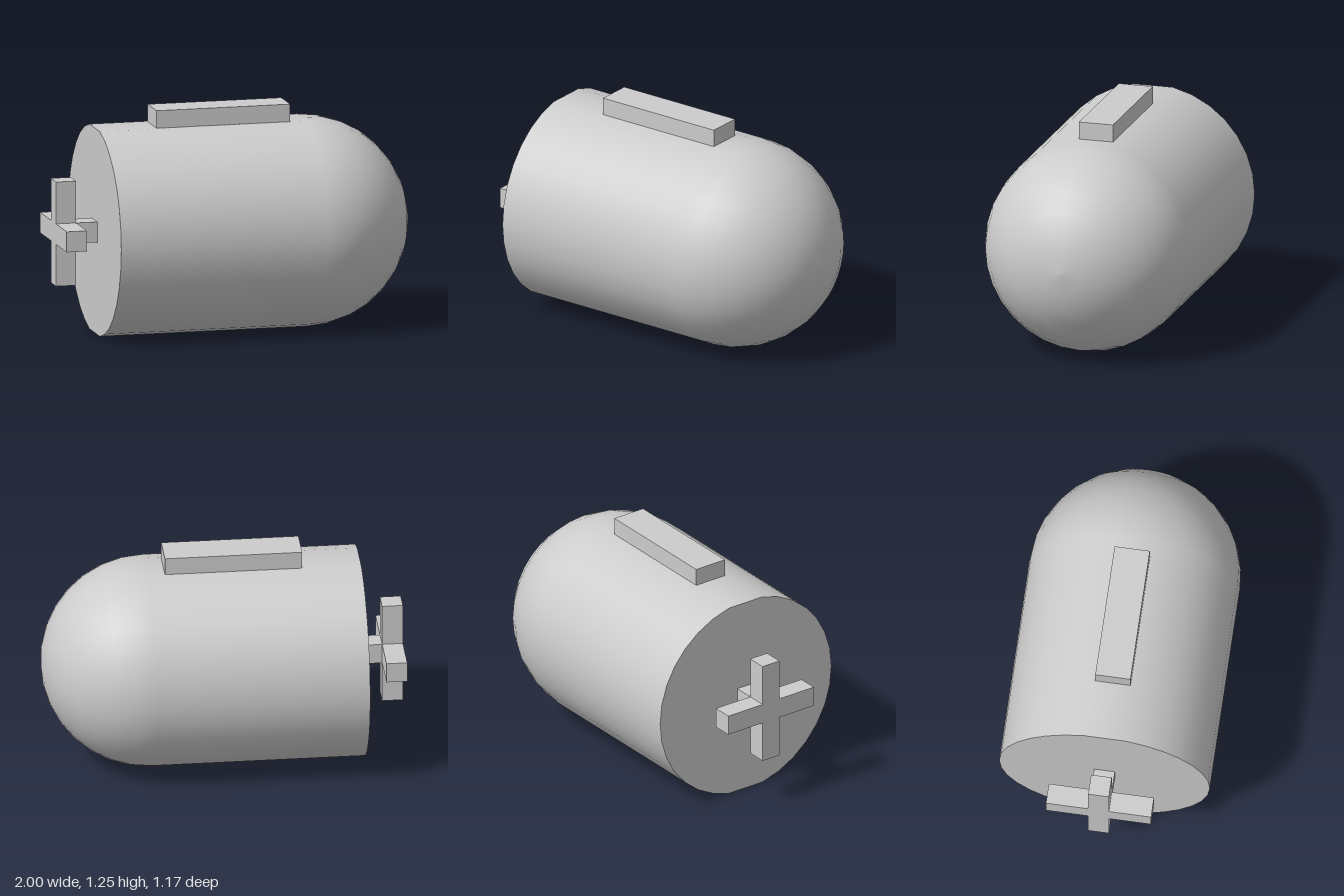
import * as THREE from 'three';

const R = 0.586;            // hull radius
const CY = 0.577;           // hull axis height
const TAIL = -0.765;        // flat rear end
const DOME = 0.413;         // where the rounded nose starts
const STEP = Math.PI / 16;

// Trim the topmost and lowest ridge so the hull is flat above and below
function flatten(geometry) {
  const limit = R * Math.cos(STEP);
  const p = geometry.attributes.position;
  for (let i = 0; i < p.count; i++) {
    p.setY(i, THREE.MathUtils.clamp(p.getY(i), -limit, limit));
  }
  return geometry;
}

export function createModel() {
  const group = new THREE.Group();
  const grey = new THREE.MeshStandardMaterial({ color: 0xcccccc });
  grey.name = 'light grey';

  function add(name, geometry, x, y, z = 0) {
    const mesh = new THREE.Mesh(geometry, grey);
    mesh.name = name;
    mesh.position.set(x, y, z);
    group.add(mesh);
  }

  // Hull: straight tube running into a hemispherical nose, turned along x
  const profile = [new THREE.Vector2(R, TAIL)];
  for (let i = 0; i <= 8; i++) {
    const a = i * STEP;
    profile.push(new THREE.Vector2(i === 8 ? 0 : R * Math.cos(a), DOME + R * Math.sin(a)));
  }
  add('hull', flatten(new THREE.LatheGeometry(profile, 32).rotateZ(-Math.PI / 2)), 0, CY);
  add('rearCap', flatten(new THREE.CircleGeometry(R, 32).rotateY(-Math.PI / 2)), TAIL, CY);

  // Raised block on top
  add('topBlock', new THREE.BoxGeometry(0.76, 0.15, 0.196), -0.058, 1.175);

  // Propeller: square shaft with crossed blades
  const w = 0.115, span = 0.585;
  add('propellerShaft', new THREE.BoxGeometry(0.13, w, w), -0.825, CY);
  add('verticalBlades', new THREE.BoxGeometry(w, span, w), -1 + w / 2, CY);
  for (const side of [1, -1]) {
    const length = (span - w) / 2;
    add(side > 0 ? 'frontBlade' : 'backBlade', new THREE.BoxGeometry(w, w, length),
      -1 + w / 2, CY, side * (w + length) / 2);
  }
  return group;
}
